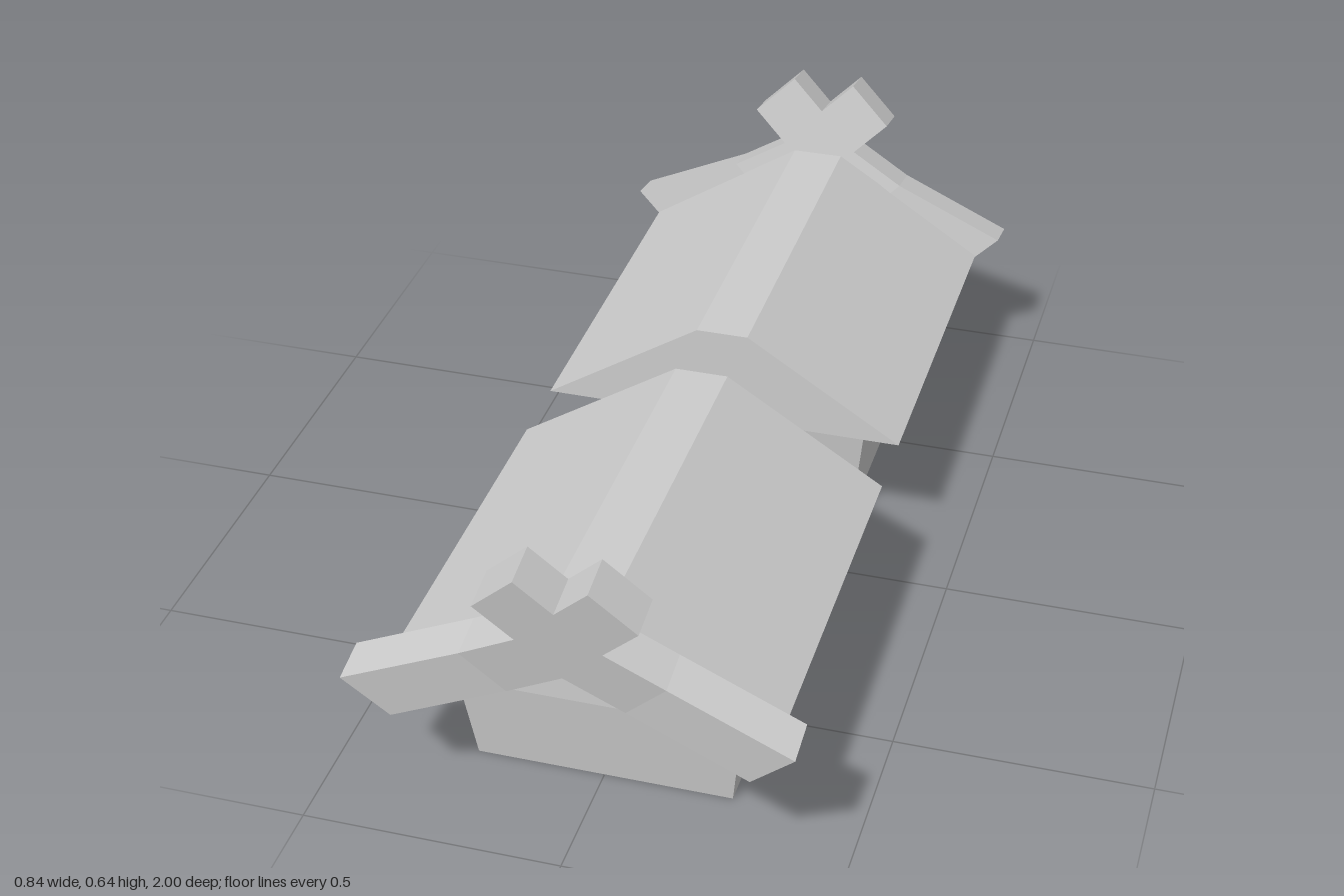
import * as THREE from 'three';

const material = new THREE.MeshStandardMaterial({ color: 0xcccccc, flatShading: true });

const toShape = (pts) => new THREE.Shape(pts.map(([x, y]) => new THREE.Vector2(x, y)));
const mirror = (pts) => pts.map(([x, y]) => [-x, y]).reverse();

function part(name, geometry) {
  const mesh = new THREE.Mesh(geometry, material);
  mesh.name = name;
  return mesh;
}

// Moves every vertex by a rule, then refreshes the normals
function reshape(geometry, rule) {
  const pos = geometry.attributes.position;
  const v = new THREE.Vector3();
  for (let i = 0; i < pos.count; i++) {
    rule(v.fromBufferAttribute(pos, i));
    pos.setXYZ(i, v.x, v.y, v.z);
  }
  geometry.computeVertexNormals();
  return geometry;
}

// Walls: a block that narrows towards the ground
function createWalls() {
  const geometry = new THREE.BoxGeometry(0.57, 0.283, 0.61);
  reshape(geometry, (v) => {
    if (v.y < 0) {
      v.x *= 0.5 / 0.57;
      v.z *= 0.53 / 0.61;
    }
  });
  geometry.translate(0, 0.1415, 0.475);
  return part('walls', geometry);
}

// Roof: solid gable prism with a narrow flat ridge
function createRoof() {
  const half = [[0.372, 0.283], [0.053, 0.486]];
  const geometry = new THREE.ExtrudeGeometry(toShape([...half, ...mirror(half)]), {
    depth: 0.8, bevelEnabled: false,
  });
  geometry.translate(0, 0, 0.075);
  return part('roof', geometry);
}

// Crossed gable boards: leaning outward, with wings creased back along the eaves
function createGableBoards() {
  const right = [[0.11, 0.335], [0.19, 0.415], [0.08, 0.478], [0.15, 0.546], [0.067, 0.626]];
  const centre = [[0, 0.398], ...right, [0, 0.561], ...mirror(right)];
  const wing = [[0.11, 0.335], [0.335, 0.23], [0.42, 0.31], [0.19, 0.415]];
  const geometry = new THREE.ExtrudeGeometry([centre, wing, mirror(wing)].map(toShape), {
    depth: 1, bevelEnabled: false,
  });
  reshape(geometry, (v) => {
    const inward = 1 - v.z;
    const pastCrease = Math.max(0, Math.abs(v.x) - v.y + 0.225);
    v.z = 0.958 + 0.2 * (v.y - 0.415) + 0.063 * pastCrease - 0.083 * inward;
    v.y += 0.016 * inward;
  });
  return part('gableBoards', geometry);
}

function createHouse(name) {
  const house = new THREE.Group();
  house.name = name;
  house.add(createWalls(), createRoof(), createGableBoards());
  return house;
}

export function createModel() {
  const model = new THREE.Group();
  model.name = 'twinGabledHouses';
  const front = createHouse('frontHouse');
  const back = createHouse('backHouse');
  back.rotation.y = Math.PI;
  model.add(front, back);
  return model;
}
